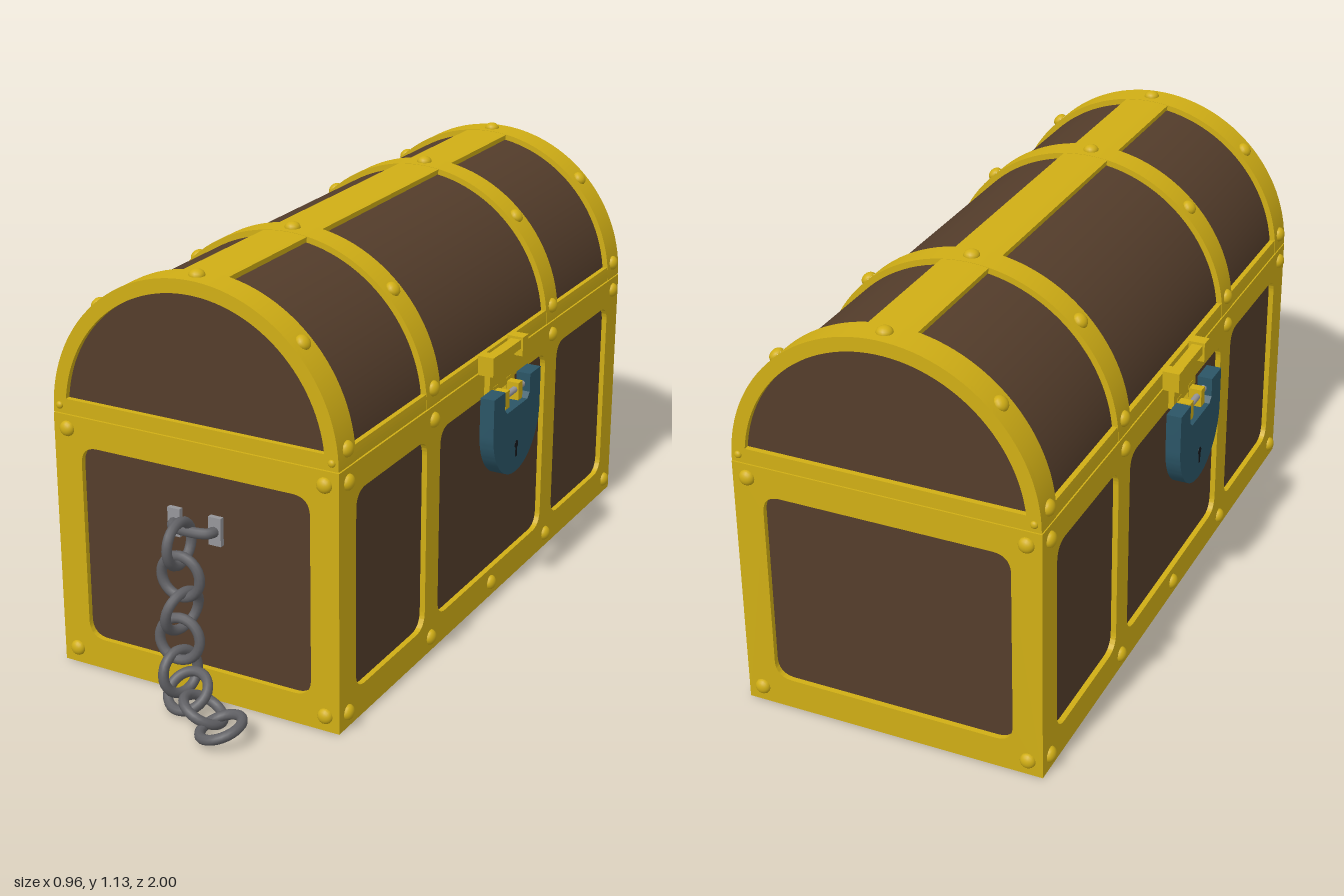
import * as THREE from 'three';
import { toCreasedNormals } from 'three/addons/utils/BufferGeometryUtils.js';

const mat = (color) => new THREE.MeshStandardMaterial({ color });
const gold = mat(0xd0ae15), wood = mat(0x543d2b), blue = mat(0x2b5566);
const iron = mat(0x606064), steel = mat(0x96969a), dark = mat(0x14181c);

const HALF_W = 0.413, HALF_L = 0.875, RIM = 0.715, R = 0.412;
const bands = [-0.83, -0.375, 0.375, 0.83];

function add(parent, name, geometry, material, x = 0, y = 0, z = 0) {
  const mesh = new THREE.Mesh(geometry, material);
  mesh.name = name;
  mesh.position.set(x, y, z);
  parent.add(mesh);
  return mesh;
}

function group(parent, name, angle = 0) {
  const g = new THREE.Group();
  g.name = name;
  g.rotation.y = angle;
  parent.add(g);
  return g;
}

const extrude = (shape, depth) => toCreasedNormals(
  new THREE.ExtrudeGeometry(shape, { depth, bevelEnabled: false, curveSegments: 28 }), 0.5);

// Rectangle with rounded corners
function roundRect(Type, x0, y0, x1, y1, r) {
  const p = new Type();
  p.moveTo(x0 + r, y0);
  p.lineTo(x1 - r, y0);
  p.quadraticCurveTo(x1, y0, x1, y0 + r);
  p.lineTo(x1, y1 - r);
  p.quadraticCurveTo(x1, y1, x1 - r, y1);
  p.lineTo(x0 + r, y1);
  p.quadraticCurveTo(x0, y1, x0, y1 - r);
  p.lineTo(x0, y0 + r);
  p.quadraticCurveTo(x0, y0, x0 + r, y0);
  return p;
}

// Curved strip between two radii and two angles
function arcShape(r0, r1, a0, a1) {
  const s = new THREE.Shape();
  s.absarc(0, 0, r1, a0, a1, false);
  s.absarc(0, 0, r0, a1, a0, true);
  s.closePath();
  return s;
}

// Half disc cut off at a height above its centre
function halfDisc(Type, r, cut) {
  const a = Math.asin(cut / r), s = new Type();
  s.absarc(0, 0, r, a, Math.PI - a, false);
  s.closePath();
  return s;
}

// Flat frame with rounded openings, its outer face at distance d
function frame(parent, name, halfWidth, openings, d) {
  const s = new THREE.Shape();
  s.moveTo(-halfWidth, 0.01);
  s.lineTo(halfWidth, 0.01);
  s.lineTo(halfWidth, RIM - 0.003);
  s.lineTo(-halfWidth, RIM - 0.003);
  s.closePath();
  for (const [a, b] of openings) s.holes.push(roundRect(THREE.Path, a, 0.094, b, 0.634, 0.05));
  add(parent, name, extrude(s, 0.015), gold, 0, 0, d - 0.015);
}

const rivetGeo = new THREE.SphereGeometry(1, 14, 6, 0, Math.PI * 2, 0, Math.PI / 2);
function rivet(parent, x, y, z, normal, r = 0.021) {
  const m = add(parent, 'rivet', rivetGeo, gold, x, y, z);
  m.scale.set(r, r * 0.75, r);
  m.quaternion.setFromUnitVectors(new THREE.Vector3(0, 1, 0), new THREE.Vector3(...normal));
}

function buildBody(chest) {
  const body = group(chest, 'body');
  add(body, 'woodenBox', new THREE.BoxGeometry(0.796, RIM - 0.012, 1.72), wood, 0, (RIM + 0.008) / 2, 0);
  for (const s of [1, -1]) {
    const side = group(body, 'side', s * Math.PI / 2);
    frame(side, 'sideFrame', HALF_L - 0.015, [[-0.79, -0.41], [-0.335, 0.335], [0.415, 0.795]], HALF_W);
    for (const u of bands) for (const y of [0.052, 0.675]) rivet(side, u, y, HALF_W, [0, 0, 1]);
    rivet(side, 0, 0.052, HALF_W, [0, 0, 1]);

    const end = group(body, 'end', s > 0 ? 0 : Math.PI);
    frame(end, 'endFrame', HALF_W, [[-0.333, 0.333]], HALF_L);
    for (const x of [-0.373, 0.373]) for (const y of [0.052, 0.675])
      rivet(end, x, y, HALF_L, [0, 0, 1]);
  }
}

function buildLid(chest) {
  const lid = group(chest, 'lid');
  lid.position.y = RIM;
  add(lid, 'woodenLid', extrude(halfDisc(THREE.Shape, 0.396, 0), 1.72), wood, 0, 0, -0.86);
  // Straight rails along the rim and the crown
  for (const [a, b] of [[0, 0.1], [Math.PI / 2 - 0.158, Math.PI / 2 + 0.158], [Math.PI - 0.1, Math.PI]])
    add(lid, 'rail', extrude(arcShape(0.38, R - 0.001, a, b), 1.72), gold, 0, 0, -0.86);
  // Arched bands with their rivets
  const arch = extrude(arcShape(0.38, R, 0, Math.PI), 0.078);
  for (const z of bands) {
    add(lid, 'archBand', arch, gold, 0, 0, z - 0.039);
    for (const a of [0.11, Math.PI / 4, Math.PI / 2, Math.PI * 0.75, Math.PI - 0.11]) {
      const c = Math.cos(a), s = Math.sin(a);
      rivet(lid, R * c, R * s, z, [c, s, 0]);
    }
  }
  // End frames around the half-round panels
  const endShape = halfDisc(THREE.Shape, R, 0);
  endShape.holes.push(halfDisc(THREE.Path, 0.375, 0.04));
  const endGeo = extrude(endShape, 0.015);
  for (const angle of [0, Math.PI]) {
    const end = group(lid, 'lidEnd', angle);
    add(end, 'lidEndFrame', endGeo, gold, 0, 0, HALF_L - 0.015);
    for (const x of [-0.393, 0.393]) rivet(end, x, 0.02, HALF_L, [0, 0, 1], 0.01);
  }
}

// Hasp and padlock, built facing +z and turned to each side
function buildLock(chest, s) {
  const lock = group(chest, 'lock', s * Math.PI / 2);
  const box = (name, m, w, h, d, x, y, z) => add(lock, name, new THREE.BoxGeometry(w, h, d), m, x, y, z);
  box('hingeBar', gold, 0.19, 0.026, 0.03, 0, 0.744, 0.435);
  box('haspPlate', gold, 0.16, 0.1, 0.016, 0, 0.69, 0.424);
  for (const u of [-1, 1]) {
    box('hingeBlock', gold, 0.036, 0.054, 0.046, u * 0.094, 0.737, 0.433);
    box('haspLeg', gold, 0.03, 0.11, 0.014, u * 0.042, 0.605, 0.426);
    box('staple', gold, 0.026, 0.05, 0.04, u * 0.042, 0.625, 0.448);
  }
  const rod = add(lock, 'shackle', new THREE.CylinderGeometry(0.009, 0.009, 0.17, 10), steel, 0, 0.63, 0.456);
  rod.rotation.z = Math.PI / 2;

  const p = new THREE.Shape();
  p.moveTo(-0.15, 0.662);
  p.lineTo(-0.15, 0.555);
  p.absarc(0, 0.555, 0.15, Math.PI, Math.PI * 2, false);
  p.lineTo(0.15, 0.662);
  p.lineTo(0.08, 0.662);
  p.lineTo(0.08, 0.61);
  p.lineTo(0.065, 0.595);
  p.lineTo(-0.065, 0.595);
  p.lineTo(-0.08, 0.61);
  p.lineTo(-0.08, 0.662);
  p.closePath();
  add(lock, 'padlock', extrude(p, 0.041), blue, 0, 0, 0.438);

  const hole = add(lock, 'keyhole', new THREE.CylinderGeometry(0.011, 0.011, 0.002, 14), dark, 0, 0.485, 0.479);
  hole.rotation.x = Math.PI / 2;
  box('keySlot', dark, 0.01, 0.035, 0.002, 0, 0.467, 0.479);
}

function buildChain(root) {
  const chain = group(root, 'chain');
  for (const x of [-0.06, 0.06])
    add(chain, 'anchorPlate', new THREE.BoxGeometry(0.036, 0.076, 0.014), steel, x, 0.483, 0.757);
  const loop = new THREE.CatmullRomCurve3([[-0.06, 0.755], [-0.055, 0.778], [-0.03, 0.79],
    [0.03, 0.79], [0.055, 0.778], [0.06, 0.755]].map(([x, z]) => new THREE.Vector3(x, 0.483, z)));
  add(chain, 'anchorLoop', new THREE.TubeGeometry(loop, 24, 0.014, 10), iron);

  // Each link: centre, then the direction its ring faces
  const ring = new THREE.TorusGeometry(0.056, 0.0135, 10, 28);
  const links = [
    [0, 0.465, 0.832, 1, 0, 0],
    [0, 0.375, 0.83, 0, 0, 1],
    [0, 0.28, 0.828, 1, -0.2, 0.25],
    [-0.008, 0.2, 0.83, 0.1, 0.1, 1],
    [-0.012, 0.105, 0.825, 1, 0.15, 0.3],
    [0.015, 0.06, 0.835, -0.1, 0.75, 0.6],
    [0.09, 0.05, 0.88, 0.45, 0.9, -0.2],
    [0.172, 0.048, 0.93, -0.3, 1, 0.15],
  ];
  for (const [x, y, z, ...n] of links) {
    const m = add(chain, 'chainLink', ring, iron, x, y, z);
    m.quaternion.setFromUnitVectors(new THREE.Vector3(0, 0, 1), new THREE.Vector3(...n).normalize());
  }
}

export function createModel() {
  const root = new THREE.Group();
  root.name = 'treasureChest';
  const chest = group(root, 'chest');
  chest.position.z = -0.11;
  buildBody(chest);
  buildLid(chest);
  buildLock(chest, 1);
  buildLock(chest, -1);
  buildChain(root);
  return root;
}
